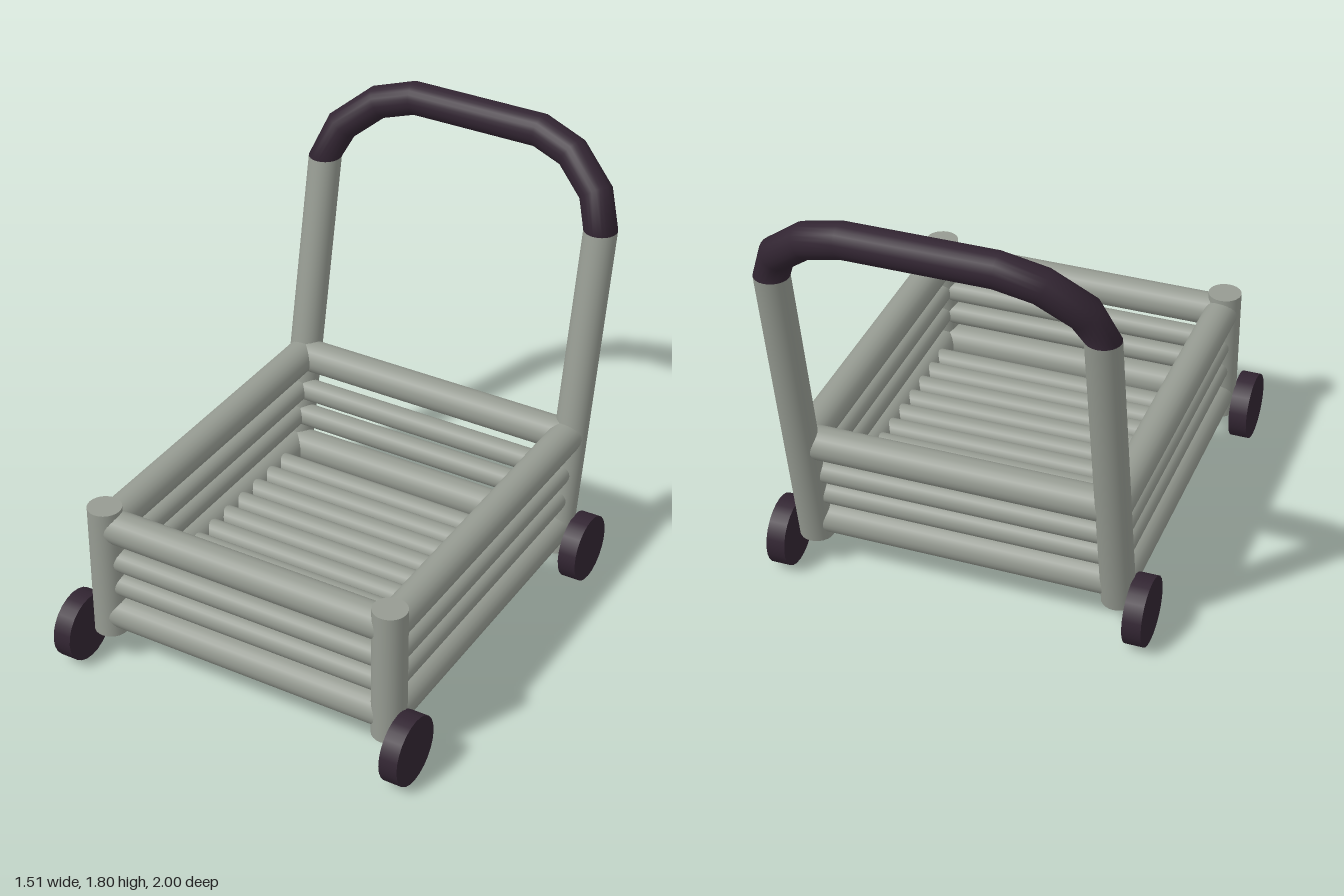
import * as THREE from 'three';

const R = 0.067;        // main tube radius
const POST_X = 0.615;
const FRONT_Z = 0.81;
const postZ = (y) => -(0.51 + 0.2 * y); // centre line of the leaning rear posts

// Handle centre line with horizontal end rings that meet the posts
class HandleCurve extends THREE.Curve {
  constructor(points) {
    super();
    this.points = points;
  }
  getPoint(t, target = new THREE.Vector3()) {
    const n = this.points.length - 1;
    const i = Math.min(Math.floor(t * n + 1e-6), n - 1);
    return target.lerpVectors(this.points[i], this.points[i + 1], t * n - i);
  }
  getPointAt(u, target) {
    return this.getPoint(u, target);
  }
  getTangentAt(u, target = new THREE.Vector3()) {
    const p = this.points, n = p.length - 1, i = Math.round(u * n);
    if (i === 0) return target.set(0, 1, 0);
    if (i === n) return target.set(0, -1, 0);
    const a = p[i].clone().sub(p[i - 1]).normalize();
    const b = p[i + 1].clone().sub(p[i]).normalize();
    return target.copy(a.add(b).normalize());
  }
}

export function createModel() {
  const model = new THREE.Group();
  model.name = 'pushCart';
  const frameMat = new THREE.MeshStandardMaterial({ color: 0x969b92 });
  frameMat.name = 'greyFrame';
  const rubberMat = new THREE.MeshStandardMaterial({ color: 0x322532 });
  rubberMat.name = 'darkRubber';

  const add = (name, geometry, material) => {
    const mesh = new THREE.Mesh(geometry, material);
    mesh.name = name;
    model.add(mesh);
    return mesh;
  };
  const crossBar = (name, r, y, z) => {
    const geo = new THREE.CylinderGeometry(r, r, 2 * POST_X, 24).rotateZ(Math.PI / 2);
    add(name, geo, frameMat).position.set(0, y, z);
  };

  // Rails of the four sides: height and radius
  const rails = [[0.219, R], [0.352, 0.047], [0.463, 0.047], [0.612, R]];
  for (const [y, r] of rails) {
    crossBar('frontRail', r, y, 0.802);
    crossBar('rearRail', r, y, postZ(y) + 0.025);
    const back = postZ(y);
    for (const s of [-1, 1]) {
      const geo = new THREE.CylinderGeometry(r, r, FRONT_Z - back, 24).rotateX(Math.PI / 2);
      add('sideRail', geo, frameMat).position.set(s * 0.609, y, (FRONT_Z + back) / 2);
    }
  }

  // Floor slats
  for (let i = 0; i < 10; i++) crossBar('floorSlat', 0.048, 0.219, -0.355 + i * 0.1087);

  // Posts and wheels on both sides
  for (const s of [-1, 1]) {
    const front = new THREE.CylinderGeometry(R, R, 0.565, 24);
    add('frontPost', front, frameMat).position.set(s * POST_X, 0.4125, FRONT_Z);

    // Rear post leans back with level ends
    const rear = new THREE.CylinderGeometry(R, R, 1.32, 24).translate(0, 0.79, 0);
    rear.applyMatrix4(new THREE.Matrix4().set(
      1, 0, 0, 0,
      0, 1, 0, 0,
      0, -0.2, 1, -0.51,
      0, 0, 0, 1));
    add('rearPost', rear, frameMat).position.x = s * POST_X;

    for (const z of [0.863, -0.57]) {
      const wheel = new THREE.CylinderGeometry(0.137, 0.137, 0.075, 24).rotateZ(Math.PI / 2);
      add('wheel', wheel, rubberMat).position.set(s * 0.717, 0.137, z);
    }
  }

  // Curved grip handle, mirrored from its left half
  const half = [
    [POST_X, 1.45, -0.8],
    [0.565, 1.575, -0.848],
    [0.43, 1.687, -0.905],
    [0.278, 1.732, -0.93],
  ];
  const path = [
    ...half.map(([x, y, z]) => new THREE.Vector3(-x, y, z)),
    ...half.slice().reverse().map(([x, y, z]) => new THREE.Vector3(x, y, z)),
  ];
  add('handle', new THREE.TubeGeometry(new HandleCurve(path), path.length - 1, R, 24, false), rubberMat);

  return model;
}
